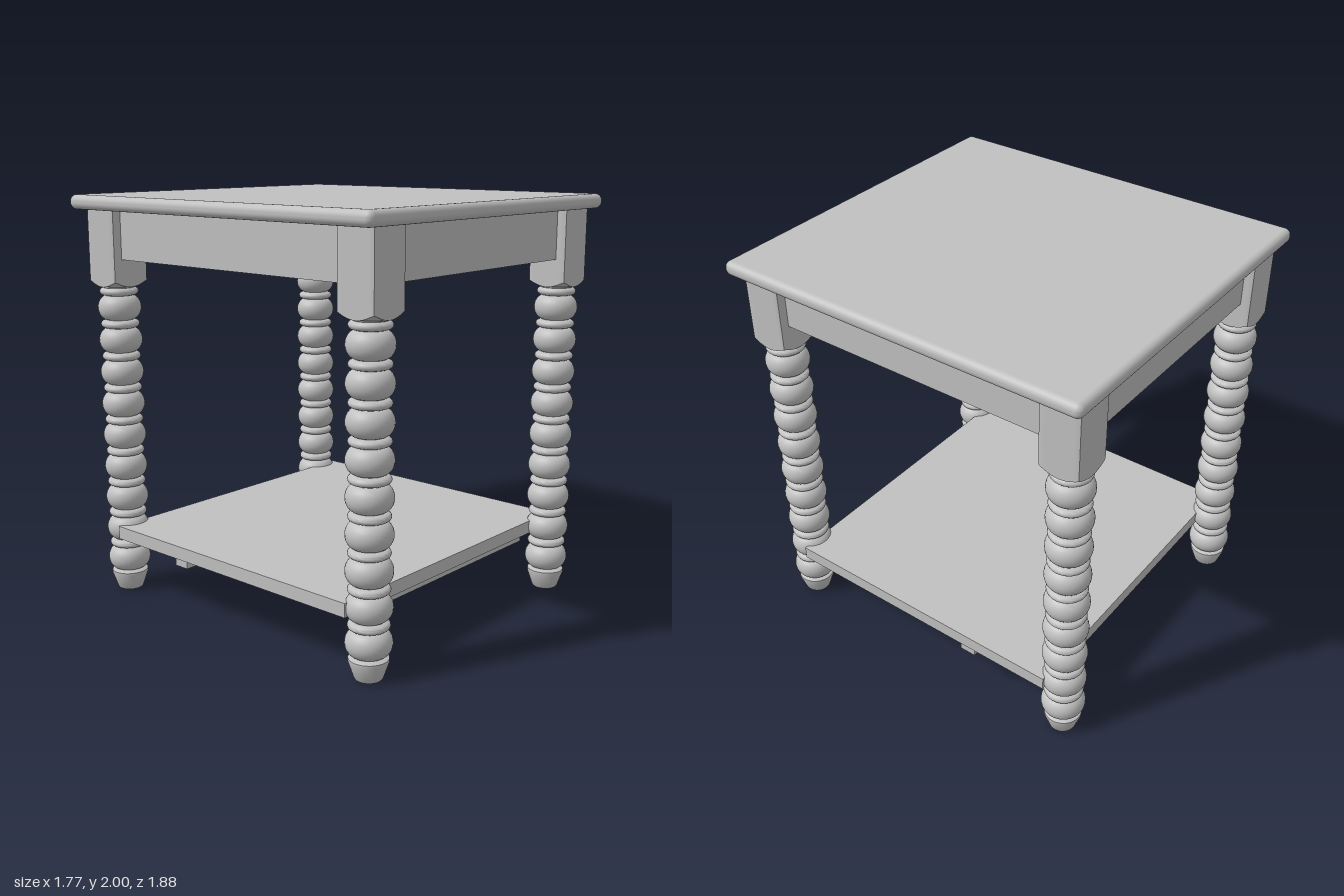
import * as THREE from 'three';
import { toCreasedNormals } from 'three/addons/utils/BufferGeometryUtils.js';
import { RoundedBoxGeometry } from 'three/addons/geometries/RoundedBoxGeometry.js';

const grey = new THREE.MeshStandardMaterial({ color: 0xc0c0c0 });
grey.name = 'grey';

function mesh(name, geometry, x = 0, y = 0, z = 0) {
  const m = new THREE.Mesh(geometry, grey);
  m.name = name;
  m.position.set(x, y, z);
  return m;
}

// Box given by its limits on each axis
function slab(name, [x0, x1], [y0, y1], [z0, z1]) {
  return mesh(name, new THREE.BoxGeometry(x1 - x0, y1 - y0, z1 - z0),
    (x0 + x1) / 2, (y0 + y1) / 2, (z0 + z1) / 2);
}

// Turned spindle: tapered foot, then alternating large beads and thin rings
function spindleGeometry() {
  const pts = [[0, 0.005], [0.06, 0.005], [0.065, 0.012], [0.09, 0.085], [0.09, 0.1], [0.07, 0.11]]
    .map(([r, y]) => new THREE.Vector2(r, y));
  const bulge = (y, core, round, half, steps) => {
    for (let i = 0; i <= steps; i++) {
      const a = (i / steps - 0.5) * Math.PI * 0.86;
      pts.push(new THREE.Vector2(core + round * Math.cos(a), y + half * Math.sin(a)));
    }
  };
  for (let k = 0; k < 9; k++) {
    const y = 0.17 + 0.1605 * k;
    bulge(y, 0.055, 0.05, 0.061, 12);
    bulge(y + 0.08, 0.07, 0.024, 0.019, 6);
  }
  pts.push(new THREE.Vector2(0.08, 1.555), new THREE.Vector2(0.08, 1.57));
  return toCreasedNormals(new THREE.LatheGeometry(pts, 32), 0.9);
}

// Square block with softened corners and a turned, conical underside
function blockGeometry() {
  const half = 0.1;
  const profile = [[0, 1.56], [0.085, 1.56], [1, 1.56], [1, 1.935], [0, 1.935]]
    .map(([r, y]) => new THREE.Vector2(r, y));
  const g = new THREE.LatheGeometry(profile, 64);
  const p = g.attributes.position;
  for (let i = 0; i < p.count; i++) {
    const x = p.getX(i), y = p.getY(i), z = p.getZ(i);
    if (Math.hypot(x, z) < 0.5) continue;
    const r = Math.min(half / Math.max(Math.abs(x), Math.abs(z)), 0.136);
    p.setXYZ(i, x * r, y < 1.7 ? 1.56 + (r - half) * 0.75 : y, z * r);
  }
  return toCreasedNormals(g, 0.45);
}

export function createModel() {
  const table = new THREE.Group();
  table.name = 'sideTable';

  // Top and apron
  table.add(mesh('tableTop', new RoundedBoxGeometry(1.77, 0.07, 1.88, 4, 0.032), 0, 1.965, 0));
  table.add(slab('apron', [-0.765, 0.765], [1.695, 1.935], [-0.85, 0.85]));

  // Four legs
  const spindle = spindleGeometry();
  const block = blockGeometry();
  for (const sx of [-1, 1]) {
    for (const sz of [-1, 1]) {
      const leg = new THREE.Group();
      leg.name = (sz > 0 ? 'front' : 'back') + (sx > 0 ? 'Left' : 'Right') + 'Leg';
      leg.position.set(sx * 0.71, 0, sz * 0.8);
      leg.add(mesh('spindle', spindle), mesh('legBlock', block));
      table.add(leg);
    }
  }

  // Lower shelf with battens underneath
  table.add(slab('shelf', [-0.81, 0.81], [0.295, 0.36], [-0.75, 0.75]));
  table.add(slab('frontBatten', [-0.56, 0.66], [0.225, 0.296], [0.57, 0.675]));
  table.add(slab('backBatten', [-0.56, 0.66], [0.225, 0.296], [-0.67, -0.565]));
  table.add(slab('thinBatten', [-0.79, 0.8], [0.25, 0.296], [-0.345, -0.265]));

  return table;
}
